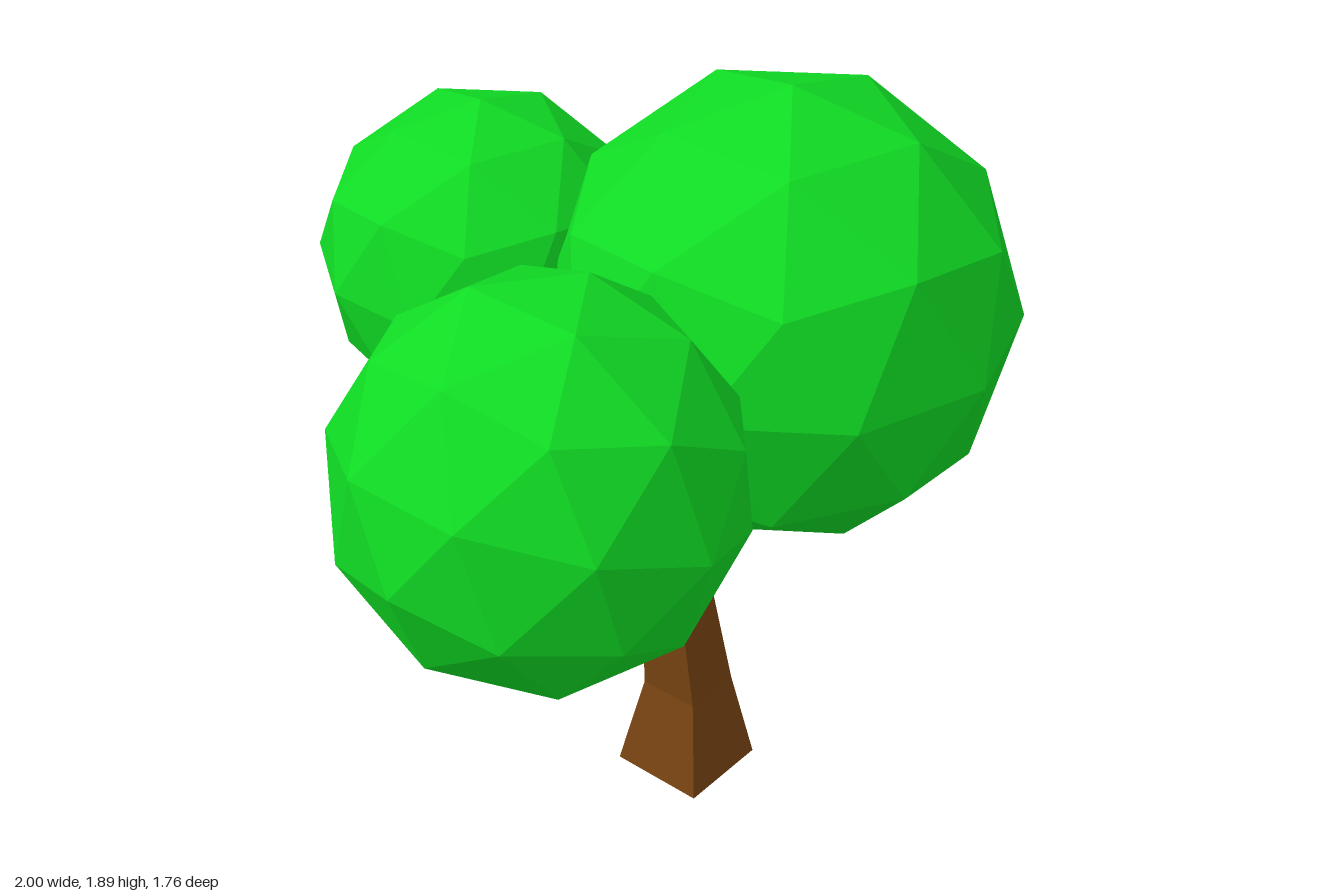
import * as THREE from 'three';

const leafMat = new THREE.MeshStandardMaterial({ color: 0x10dc24, flatShading: true });
leafMat.name = 'leaf green';
const barkMat = new THREE.MeshStandardMaterial({ color: 0x7a4411, flatShading: true });
barkMat.name = 'bark brown';

const POLE_TILT = -Math.atan(2 / (1 + Math.sqrt(5))); // stands the icosphere on a corner

// Faceted leaf ball; pull = { from: direction, to: point } drags one corner out to a point
function leafBall(name, [x, y, z], radius, turn = 0, pull = null) {
  const geo = new THREE.IcosahedronGeometry(radius, 1);
  geo.rotateZ(POLE_TILT + turn);
  geo.translate(x, y, z);
  if (pull) {
    const p = geo.attributes.position;
    const v = new THREE.Vector3();
    const corner = new THREE.Vector3(...pull.from).normalize().multiplyScalar(radius)
      .add(new THREE.Vector3(x, y, z));
    for (let i = 0; i < p.count; i++) {
      v.fromBufferAttribute(p, i);
      if (v.distanceTo(corner) < radius * 0.15) p.setXYZ(i, ...pull.to);
    }
  }
  geo.computeVertexNormals();
  const mesh = new THREE.Mesh(geo, leafMat);
  mesh.name = name;
  return mesh;
}

// Four-sided trunk through rectangular rings [y, x0, x1, z0, z1]
function trunk(rings) {
  const pos = [];
  const index = [];
  for (const [y, x0, x1, z0, z1] of rings) {
    pos.push(x0, y, z1, x1, y, z1, x1, y, z0, x0, y, z0);
  }
  for (let r = 0; r < rings.length - 1; r++) {
    for (let i = 0; i < 4; i++) {
      const a = r * 4 + i;
      const b = r * 4 + (i + 1) % 4;
      index.push(a, b, b + 4, a, b + 4, a + 4);
    }
  }
  const t = (rings.length - 1) * 4;
  index.push(0, 2, 1, 0, 3, 2, t, t + 1, t + 2, t, t + 2, t + 3);
  const indexed = new THREE.BufferGeometry();
  indexed.setAttribute('position', new THREE.Float32BufferAttribute(pos, 3));
  indexed.setIndex(index);
  const geo = indexed.toNonIndexed();
  geo.computeVertexNormals();
  const mesh = new THREE.Mesh(geo, barkMat);
  mesh.name = 'trunk';
  return mesh;
}

export function createModel() {
  const tree = new THREE.Group();
  tree.name = 'tree';
  tree.add(
    // flared foot, narrowing waist, straight top hidden in the leaves
    trunk([
      [0, 0.02, 0.275, 0.125, 0.38],
      [0.26, 0.065, 0.228, 0.17, 0.332],
      [0.66, 0.04, 0.157, 0.17, 0.29],
      [1.0, 0.045, 0.155, 0.175, 0.285],
    ]),
    leafBall('largeFoliage', [0.432, 1.295, 0.282], 0.595),
    leafBall('backFoliage', [0.153, 1.295, -0.455], 0.425),
    // tilted ball with one corner drawn out towards the trunk
    leafBall('sideFoliage', [-0.515, 1.29, 0.325], 0.487, -0.353,
      { from: [0.52, -0.673, -0.526], to: [0.02, 0.905, 0.04] }),
  );
  return tree;
}
